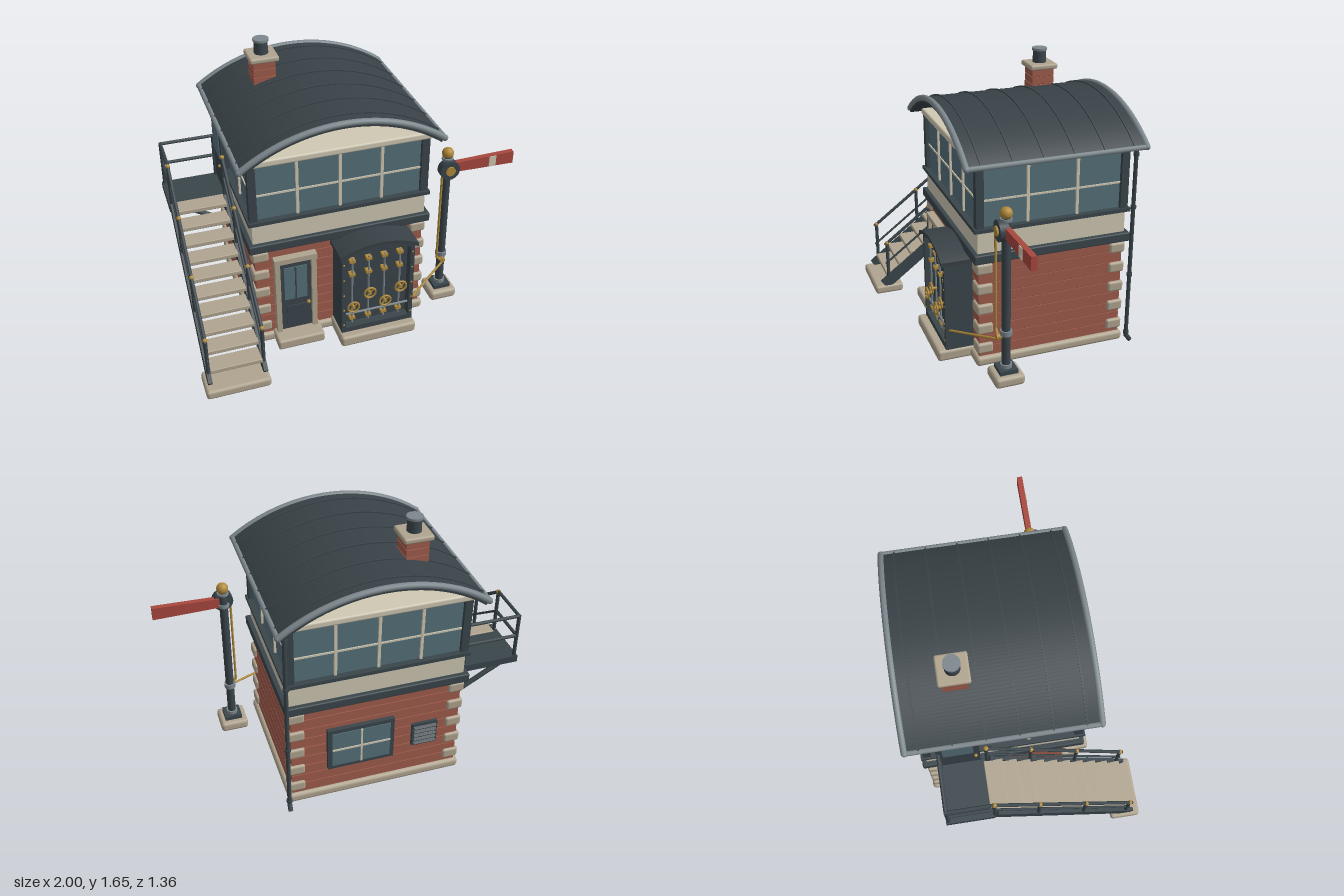
import * as THREE from 'three';
import { RoundedBoxGeometry } from 'three/addons/geometries/RoundedBoxGeometry.js';

const mat = (color) => new THREE.MeshStandardMaterial({ color });
const M = {
  brick: mat(0xa05c4c), mortar: mat(0x6a3c33), dark: mat(0x3a454b), roof: mat(0x384146), stone: mat(0xb0a48f),
  cream: mat(0xcfc8b4), glass: mat(0x56707a), gold: mat(0xb08a3a), grey: mat(0x7c878d), red: mat(0xa8483e),
};
const CX = -0.105, CZ = -0.135; // centre of the building
const V = (x, y, z) => new THREE.Vector3(x, y, z);

export function createModel() {
  const root = new THREE.Group();
  let parent = root;
  const part = (name) => {
    parent = new THREE.Group();
    parent.name = name;
    root.add(parent);
  };
  const add = (name, geo, m, x = 0, y = 0, z = 0) => {
    const mesh = new THREE.Mesh(geo, m);
    mesh.name = name;
    mesh.position.set(x, y, z);
    parent.add(mesh);
    return mesh;
  };
  // box given by its limits; r rounds the edges
  const box = (name, m, x0, x1, y0, y1, z0, z1, r = 0) => {
    const s = [x1 - x0, y1 - y0, z1 - z0];
    const g = r ? new RoundedBoxGeometry(...s, 2, r) : new THREE.BoxGeometry(...s);
    return add(name, g, m, (x0 + x1) / 2, (y0 + y1) / 2, (z0 + z1) / 2);
  };
  // round bar between two points
  const rod = (name, m, a, b, r, sides = 10) => {
    const d = b.clone().sub(a), c = a.clone().add(b).multiplyScalar(0.5);
    const mesh = add(name, new THREE.CylinderGeometry(r, r, d.length(), sides), m, c.x, c.y, c.z);
    mesh.quaternion.setFromUnitVectors(V(0, 1, 0), d.normalize());
    return mesh;
  };
  const ball = (name, m, x, y, z, r) => add(name, new THREE.SphereGeometry(r, 16, 12), m, x, y, z);
  // box centred on the building, with half sizes
  const storey = (name, m, hx, hz, y0, y1, r = 0) => box(name, m, CX - hx, CX + hx, y0, y1, CZ - hz, CZ + hz, r);

  // Brick ground floor in courses
  part('groundFloor');
  storey('plinth', M.stone, 0.527, 0.46, 0.018, 0.078, 0.022);
  storey('mortarCore', M.mortar, 0.497, 0.432, 0.07, 0.69);
  const courses = 9, ch = 0.605 / courses;
  for (let i = 0; i < courses; i++)
    storey('brickCourse', M.brick, 0.503, 0.438, 0.077 + i * ch, 0.077 + (i + 1) * ch - 0.005);
  for (const sx of [-1, 1]) for (const sz of [-1, 1]) for (let i = 0; i < 5; i++)
    add('quoin', new RoundedBoxGeometry(0.096, 0.064, 0.096, 2, 0.014), M.stone,
      CX + sx * 0.473, 0.132 + i * 0.126, CZ + sz * 0.405);

  // Glazed upper floor
  part('upperFloor');
  storey('floorBand', M.dark, 0.538, 0.47, 0.68, 0.735, 0.008);
  storey('creamPanel', M.cream, 0.51, 0.443, 0.735, 0.868);
  storey('windowSill', M.dark, 0.532, 0.466, 0.865, 0.887);
  storey('glazing', M.glass, 0.497, 0.43, 0.885, 1.23);
  storey('ceiling', M.cream, 0.534, 0.462, 1.228, 1.27, 0.012);
  storey('glazingBar', M.cream, 0.503, 0.436, 1.035, 1.046);
  for (const sx of [-1, 1]) for (const sz of [-1, 1])
    add('cornerPost', new THREE.BoxGeometry(0.045, 0.35, 0.045), M.dark, CX + sx * 0.499, 1.055, CZ + sz * 0.43);
  for (const sz of [-1, 1]) {
    const z = CZ + sz * 0.432;
    for (const dx of [-0.245, 0, 0.245])
      box('mullion', M.cream, CX + dx - 0.008, CX + dx + 0.008, 0.885, 1.23, z - 0.01, z + 0.01);
  }
  for (const sx of [-1, 1]) for (const mz of [0.013, -0.28]) {
    const x = CX + sx * 0.499;
    box('mullion', M.cream, x - 0.01, x + 0.01, 0.885, 1.23, mz - 0.008, mz + 0.008);
  }
  // side door at the landing
  box('sideDoorFrame', M.dark, -0.65, -0.59, 0.73, 1.21, -0.51, -0.27);
  box('sideDoorPane', M.glass, -0.655, -0.64, 0.94, 1.17, -0.475, -0.305);
  ball('sideDoorKnob', M.gold, -0.66, 0.9, -0.295, 0.01);

  // Barrel roof
  part('roof');
  const R = 0.964, A = 0.639, cy = 1.456 - R;
  const arch = (ro, ri) => {
    const s = new THREE.Shape();
    s.absarc(CX, cy, ro, Math.PI / 2 - A, Math.PI / 2 + A, false);
    s.absarc(CX, cy, ri, Math.PI / 2 + A, Math.PI / 2 - A, true);
    return s;
  };
  const slab = (name, shape, m, z0, z1) =>
    add(name, new THREE.ExtrudeGeometry(shape, { depth: z1 - z0, bevelEnabled: false, curveSegments: 32 }), m, 0, 0, z0);
  slab('roofSheet', arch(R, R - 0.034), M.roof, -0.665, 0.39);
  for (let i = 0; i < 6; i++) slab('roofSeam', arch(R + 0.007, R - 0.01), M.dark, -0.59 + i * 0.178, -0.581 + i * 0.178);
  const arcPts = [];
  for (let i = 0; i <= 24; i++) {
    const a = -A + (2 * A * i) / 24;
    arcPts.push(V(CX + R * Math.sin(a), cy + (R - 0.007) * Math.cos(a), 0));
  }
  for (const z of [-0.66, 0.385])
    add('roofLip', new THREE.TubeGeometry(new THREE.CatmullRomCurve3(arcPts), 40, 0.018, 10), M.grey, 0, 0, z);
  for (const e of [arcPts[0], arcPts[24]]) {
    rod('eaveGutter', M.grey, V(e.x, e.y, -0.66), V(e.x, e.y, 0.385), 0.015);
    for (const z of [-0.66, 0.385]) ball('lipEnd', M.grey, e.x, e.y, z, 0.018);
  }

  part('chimney');
  box('chimneyCore', M.mortar, -0.418, -0.302, 1.355, 1.54, -0.408, -0.287);
  for (let i = 0; i < 4; i++)
    box('chimneyCourse', M.brick, -0.425, -0.295, 1.355 + i * 0.046, 1.397 + i * 0.046, -0.415, -0.28);
  box('chimneyCap', M.stone, -0.445, -0.275, 1.535, 1.568, -0.435, -0.262, 0.012);
  add('chimneyPot', new THREE.CylinderGeometry(0.038, 0.042, 0.09, 20), M.dark, -0.36, 1.605, -0.348);
  add('potRim', new THREE.CylinderGeometry(0.046, 0.046, 0.014, 20), M.grey, -0.36, 1.648, -0.348);

  // Front door
  part('frontDoor');
  box('doorStep', M.stone, -0.522, -0.24, 0.025, 0.09, 0.25, 0.43, 0.015);
  box('doorLeaf', M.dark, -0.48, -0.28, 0.09, 0.59, 0.29, 0.325);
  for (const x of [-0.505, -0.29]) box('doorJamb', M.stone, x, x + 0.03, 0.09, 0.59, 0.29, 0.345);
  box('doorLintel', M.stone, -0.508, -0.257, 0.585, 0.618, 0.29, 0.35);
  box('doorPane', M.glass, -0.45, -0.315, 0.31, 0.54, 0.3, 0.33);
  box('paneBar', M.dark, -0.387, -0.379, 0.31, 0.54, 0.3, 0.335);
  box('doorPanel', M.dark, -0.44, -0.325, 0.13, 0.26, 0.3, 0.331);
  ball('doorKnob', M.gold, -0.31, 0.27, 0.335, 0.012);

  // Lever cabinet with an arched hood
  part('leverCabinet');
  box('cabinetBase', M.stone, -0.165, 0.3, 0.022, 0.092, 0.25, 0.52, 0.018);
  const arched = (S, x0, x1, y0, y1, rise) => {
    const s = new S();
    s.moveTo(x0, y0).lineTo(x1, y0).lineTo(x1, y1);
    s.quadraticCurveTo((x0 + x1) / 2, y1 + 2 * rise, x0, y1).closePath();
    return s;
  };
  slab('cabinetBack', arched(THREE.Shape, -0.15, 0.29, 0.09, 0.64, 0.06), M.dark, 0.28, 0.42);
  const frame = arched(THREE.Shape, -0.15, 0.29, 0.09, 0.64, 0.06);
  frame.holes.push(arched(THREE.Path, -0.125, 0.265, 0.125, 0.625, 0.05));
  slab('cabinetFrame', frame, M.dark, 0.42, 0.47);
  const hood = new THREE.Shape();
  hood.moveTo(-0.165, 0.635).quadraticCurveTo(0.07, 0.765, 0.305, 0.635);
  hood.lineTo(0.305, 0.66).quadraticCurveTo(0.07, 0.775, -0.165, 0.66).closePath();
  slab('cabinetHood', hood, M.roof, 0.28, 0.49);
  [-0.08, 0.02, 0.115, 0.21].forEach((x, i) => {
    const wy = i % 2 ? 0.358 : 0.276;
    rod('leverRod', M.grey, V(x, 0.14, 0.445), V(x, 0.605, 0.445), 0.006);
    for (const y of [0.175, 0.495, 0.59]) box('rodBracket', M.gold, x - 0.017, x + 0.017, y - 0.009, y + 0.009, 0.42, 0.456);
    add('wheelRim', new THREE.TorusGeometry(0.034, 0.006, 8, 24), M.gold, x, wy, 0.475);
    rod('wheelSpoke', M.gold, V(x - 0.022, wy - 0.022, 0.475), V(x + 0.022, wy + 0.022, 0.475), 0.004);
    rod('wheelHub', M.gold, V(x, wy, 0.44), V(x, wy, 0.485), 0.009);
  });
  rod('crossBar', M.grey, V(-0.125, 0.212, 0.45), V(0.265, 0.212, 0.45), 0.007);
  for (const x of [-0.138, 0.278]) for (let i = 0; i < 5; i++) ball('rivet', M.gold, x, 0.15 + i * 0.11, 0.47, 0.006);

  // Outside stair and landing
  part('stairs');
  box('stairPad', M.stone, -1, -0.632, 0.015, 0.072, 0.495, 0.678, 0.018);
  for (let i = 0; i < 10; i++) {
    const y = 0.145 + i * 0.0635, z = 0.545 - i * 0.083;
    box('tread', M.stone, -0.957, -0.66, y - 0.015, y + 0.012, z - 0.055, z + 0.055, 0.005);
  }
  box('landing', M.dark, -0.985, -0.6, 0.68, 0.722, -0.515, -0.235);
  for (const z of [-0.48, -0.27]) rod('landingBracket', M.dark, V(-0.92, 0.685, z), V(-0.6, 0.5, z), 0.015);
  const slope = 0.757, lineY = (z) => 0.09 + (0.6 - z) * slope;
  for (const x of [-0.968, -0.652]) {
    const s = add('stringer', new THREE.BoxGeometry(0.024, 0.07, 1.07), M.dark, x, lineY(0.19) - 0.005, 0.19);
    s.rotation.x = Math.atan(slope);
    for (const z of [0.585, 0.3, 0.02, -0.235]) {
      rod('railPost', M.dark, V(x, lineY(z) - 0.02, z), V(x, lineY(z) + 0.27, z), 0.011);
      ball('postCap', M.gold, x, lineY(z) + 0.27, z, 0.014);
    }
    for (const h of [0.135, 0.27])
      rod('stairRail', M.dark, V(x, lineY(0.6) + h, 0.6), V(x, lineY(-0.235) + h, -0.235), h > 0.2 ? 0.01 : 0.007);
  }
  for (const x of [-0.968, -0.652]) rod('landingPost', M.dark, V(x, 0.7, -0.5), V(x, 1, -0.5), 0.011);
  for (const y of [0.86, 0.995]) {
    rod('landingRail', M.dark, V(-0.968, y, -0.235), V(-0.968, y, -0.5), 0.01);
    rod('landingRail', M.dark, V(-0.968, y, -0.5), V(-0.652, y, -0.5), 0.01);
  }

  // Back window and vent
  part('backWindow');
  box('windowFrame', M.dark, -0.205, 0.19, 0.23, 0.515, -0.6, -0.55);
  box('windowPane', M.glass, -0.18, 0.165, 0.255, 0.49, -0.605, -0.56);
  box('windowBar', M.cream, -0.013, -0.002, 0.255, 0.49, -0.61, -0.57);
  box('windowBar', M.cream, -0.18, 0.165, 0.367, 0.378, -0.61, -0.57);
  part('vent');
  box('ventPlate', M.dark, -0.475, -0.32, 0.27, 0.425, -0.59, -0.55);
  for (let i = 0; i < 5; i++) {
    const slat = box('ventSlat', M.dark, -0.465, -0.33, 0.285 + i * 0.028, 0.293 + i * 0.028, -0.607, -0.58);
    slat.rotation.x = -0.5;
  }

  // Drainpipe at the back corner
  part('drainpipe');
  rod('downpipe', M.dark, V(0.428, 0.04, -0.618), V(0.428, 1.25, -0.618), 0.012);
  rod('pipeShoe', M.dark, V(0.428, 0.05, -0.618), V(0.428, 0.012, -0.645), 0.014);
  rod('gutterArm', M.dark, V(0.428, 1.245, -0.618), V(0.468, 1.262, -0.618), 0.012);
  for (const y of [0.06, 0.45, 0.88, 1.2]) rod('pipeClip', M.dark, V(0.428, y, -0.618), V(0.428, y + 0.02, -0.618), 0.017);

  // Signal post with arm
  part('signal');
  const sx = 0.583, sz = 0.207;
  box('signalPad', M.stone, 0.497, 0.668, 0.015, 0.08, 0.12, 0.295, 0.022);
  box('signalFoot', M.dark, sx - 0.053, sx + 0.053, 0.078, 0.105, sz - 0.053, sz + 0.053);
  rod('signalPole', M.dark, V(sx, 0.1, sz), V(sx, 1.02, sz), 0.025, 18);
  for (const [y, h] of [[0.115, 0.022], [0.325, 0.03], [0.925, 0.02], [1.005, 0.015]])
    rod('poleCollar', M.grey, V(sx, y - h / 2, sz), V(sx, y + h / 2, sz), 0.034, 18);
  ball('finial', M.gold, sx, 1.04, sz, 0.035);
  rod('pivotDisc', M.dark, V(sx, 0.945, sz), V(sx, 0.945, 0.258), 0.06, 24);
  rod('pivotHub', M.gold, V(sx, 0.945, 0.25), V(sx, 0.945, 0.268), 0.029, 18);
  const arm = new THREE.Shape();
  arm.moveTo(0.6, 0.915).lineTo(1, 0.906).lineTo(1, 0.984).lineTo(0.6, 0.975).closePath();
  slab('signalArm', arm, M.red, 0.198, 0.23);
  box('armStripe', M.cream, 0.842, 0.885, 0.912, 0.978, 0.2, 0.235);
  rod('pullRod', M.gold, V(0.535, 0.945, 0.25), V(0.535, 0.33, 0.25), 0.007);
  rod('pullCrank', M.gold, V(0.535, 0.33, 0.25), V(0.578, 0.285, 0.25), 0.008);
  rod('pullLink', M.gold, V(0.578, 0.285, 0.25), V(0.28, 0.215, 0.45), 0.007);
  rod('crankPivot', M.gold, V(0.575, 0.3, sz), V(0.575, 0.3, 0.262), 0.016);
  return root;
}
